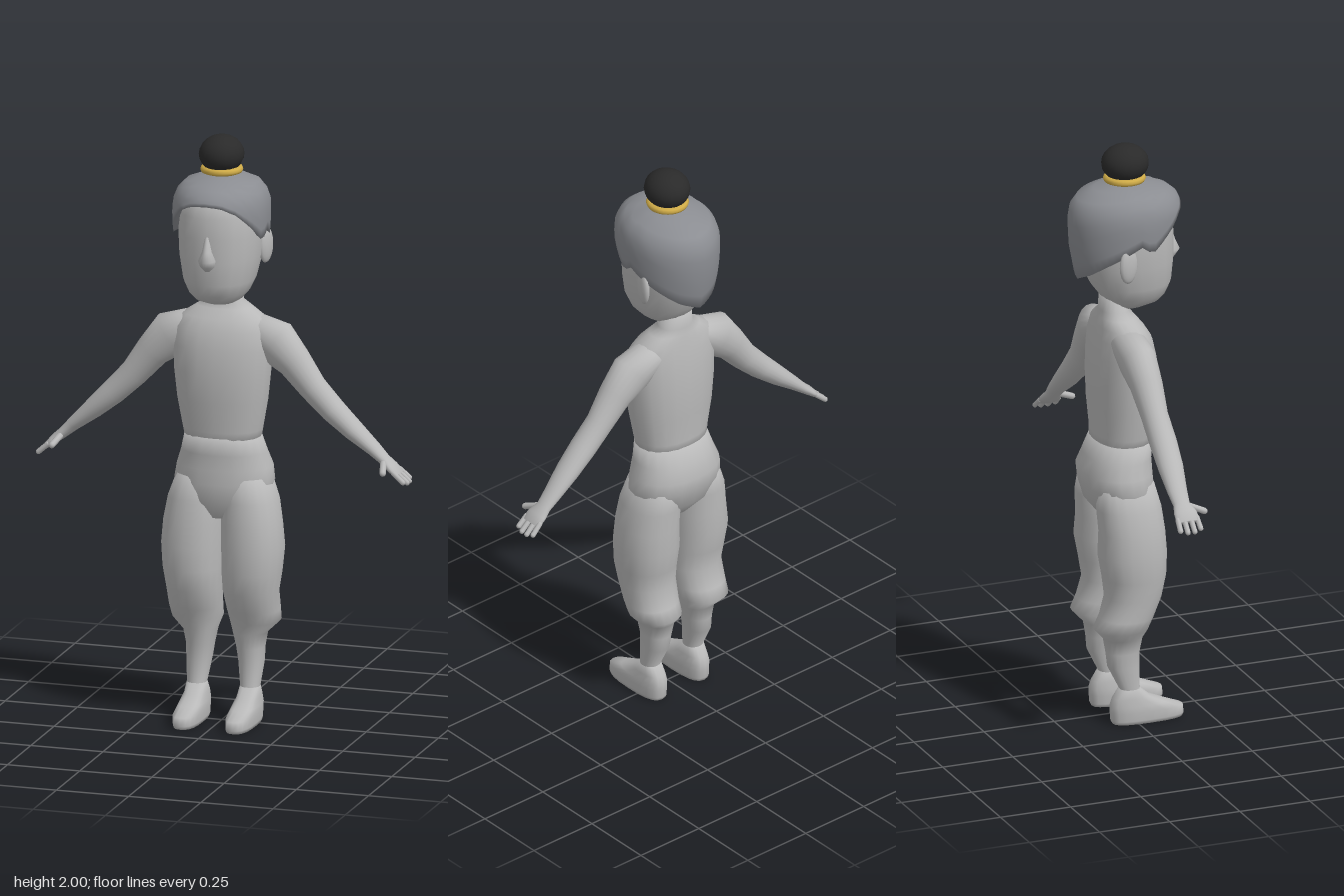
import * as THREE from 'three';

const SIDES = 20;

// Closed skin through rings of { c: centre, u: first half-axis, v: second half-axis }
function skin(rings, power) {
  const pos = [], idx = [], n = SIDES;
  const soft = t => Math.sign(t) * Math.abs(t) ** power;
  for (const { c, u, v } of rings) {
    for (let i = 0; i < n; i++) {
      const a = i / n * Math.PI * 2, p = c.clone();
      p.addScaledVector(u, soft(Math.cos(a))).addScaledVector(v, soft(Math.sin(a)));
      pos.push(p.x, p.y, p.z);
    }
  }
  for (let j = 0; j < rings.length - 1; j++) {
    for (let i = 0; i < n; i++) {
      const a = j * n + i, b = j * n + (i + 1) % n;
      idx.push(a, a + n, b, b, a + n, b + n);
    }
  }
  const last = rings.length - 1, bottom = rings.length * n, top = bottom + 1;
  pos.push(...rings[0].c.toArray(), ...rings[last].c.toArray());
  for (let i = 0; i < n; i++) {
    const k = (i + 1) % n;
    idx.push(bottom, i, k, top, last * n + k, last * n + i);
  }
  const g = new THREE.BufferGeometry();
  g.setAttribute('position', new THREE.Float32BufferAttribute(pos, 3));
  g.setIndex(idx);
  g.computeVertexNormals();
  return g;
}

// Level sections, bottom to top: [y, half width, front z, back z, centre x]
function upright(rows, side = 1, power = 0.92) {
  return skin(rows.map(([y, rx, zf, zb, cx = 0]) => ({
    c: new THREE.Vector3(cx * side, y, (zf + zb) / 2),
    u: new THREE.Vector3(rx, 0, 0),
    v: new THREE.Vector3(0, 0, (zf - zb) / 2),
  })), power);
}

// Sections square to a path: [x, y, z, half thickness, half depth]
function limb(rows, side) {
  const pts = rows.map(r => new THREE.Vector3(r[0] * side, r[1], r[2]));
  return skin(rows.map((r, i) => {
    const t = pts[Math.min(i + 1, pts.length - 1)].clone().sub(pts[Math.max(i - 1, 0)]);
    t.z = 0;
    t.normalize();
    return { c: pts[i], u: new THREE.Vector3(t.y, -t.x, 0).multiplyScalar(r[3]), v: new THREE.Vector3(0, 0, r[4]) };
  }), 1);
}

function lerpTable(table, x) {
  for (let i = 1; i < table.length; i++) {
    const [x0, y0] = table[i - 1], [x1, y1] = table[i];
    if (x <= x1) return y0 + (y1 - y0) * (x - x0) / (x1 - x0);
  }
  return table[table.length - 1][1];
}

// Hair cap with a rim that is high in front and low at the nape
function hairGeometry() {
  const rim = [[0, 1.8], [0.35, 1.795], [0.67, 1.77], [1, 1.72], [1.36, 1.66], [1.57, 1.69], [2, 1.645], [2.6, 1.585], [Math.PI, 1.55]];
  const scale = [[1.55, 0.87], [1.66, 0.975], [1.74, 1], [1.785, 0.985], [1.82, 0.9], [1.845, 0.75], [1.862, 0.45], [1.872, 0]];
  const n = 48, levels = [-0.16, 0, 0.15, 0.3, 0.45, 0.6, 0.74, 0.86, 0.95, 1];
  const pos = [], idx = [];
  levels.forEach(t => {
    for (let i = 0; i < n; i++) {
      const a = i / n * Math.PI * 2;
      const low = lerpTable(rim, a > Math.PI ? Math.PI * 2 - a : a);
      const y = t < 0 ? low + 0.012 : low + (1.872 - low) * t;
      const s = lerpTable(scale, t < 0 ? low : y) * (t < 0 ? 0.87 : 1);
      const z = Math.cos(a);
      pos.push(Math.sin(a) * 0.16 * s, y, z * (z > 0 ? 0.197 : 0.193) * s);
    }
  });
  for (let j = 0; j < levels.length - 1; j++) {
    for (let i = 0; i < n; i++) {
      const a = j * n + i, b = j * n + (i + 1) % n;
      idx.push(a, b, a + n, b, b + n, a + n);
    }
  }
  const g = new THREE.BufferGeometry();
  g.setAttribute('position', new THREE.Float32BufferAttribute(pos, 3));
  g.setIndex(idx);
  g.computeVertexNormals();
  return g;
}

export function createModel() {
  const model = new THREE.Group();
  const material = (name, color) => {
    const m = new THREE.MeshStandardMaterial({ color });
    m.name = name;
    return m;
  };
  const body = material('body grey', 0xb9b9b9);
  const hair = material('hair grey', 0x8b8d92);
  const black = material('bun black', 0x2a2a2a);
  const gold = material('band gold', 0xd0ac48);
  hair.side = THREE.DoubleSide;

  const add = (name, geometry, mat) => {
    const mesh = new THREE.Mesh(geometry, mat);
    mesh.name = name;
    model.add(mesh);
    return mesh;
  };
  // Rounded digit between two points
  const digit = (name, a, b, r) => {
    const d = b.clone().sub(a);
    const m = add(name, new THREE.CapsuleGeometry(r, d.length() - r, 4, 8), body);
    m.position.copy(a).add(b).multiplyScalar(0.5);
    m.quaternion.setFromUnitVectors(new THREE.Vector3(0, 1, 0), d.normalize());
  };

  // Torso, neck and hips
  add('torso', upright([
    [0.95, 0.125, 0.079, -0.114], [1.0, 0.135, 0.082, -0.11], [1.1, 0.153, 0.095, -0.118],
    [1.2, 0.164, 0.1, -0.12], [1.28, 0.168, 0.09, -0.115], [1.34, 0.165, 0.075, -0.108],
    [1.38, 0.142, 0.05, -0.1], [1.41, 0.095, 0.025, -0.095], [1.43, 0.062, 0.01, -0.088], [1.48, 0.058, 0.01, -0.085],
  ]), body);
  add('hips', upright([
    [0.7, 0.06, 0.05, -0.08], [0.76, 0.15, 0.08, -0.13], [0.82, 0.17, 0.083, -0.147], [0.87, 0.162, 0.08, -0.155],
    [0.92, 0.145, 0.078, -0.135], [0.98, 0.129, 0.081, -0.111],
  ]), body);

  // Head and nose
  add('head', upright([
    [1.437, 0.05, 0.07, -0.05], [1.455, 0.078, 0.118, -0.065], [1.48, 0.1, 0.138, -0.085], [1.52, 0.118, 0.156, -0.115],
    [1.6, 0.134, 0.163, -0.152], [1.68, 0.139, 0.163, -0.165], [1.75, 0.137, 0.16, -0.168],
    [1.8, 0.12, 0.14, -0.145], [1.835, 0.08, 0.09, -0.1], [1.85, 0.02, 0.02, -0.03],
  ]), body);
  add('nose', upright([
    [1.572, 0.012, 0.164, 0.12], [1.588, 0.026, 0.178, 0.12], [1.61, 0.03, 0.195, 0.12],
    [1.64, 0.018, 0.181, 0.12], [1.69, 0.01, 0.165, 0.12],
  ], 1, 1), body);

  // Hair cap, band and bun
  add('hair', hairGeometry(), hair);
  const band = add('hairBand', new THREE.TorusGeometry(0.059, 0.012, 8, 28), gold);
  band.rotation.x = Math.PI / 2;
  band.position.y = 1.884;
  const bun = add('hairBun', new THREE.SphereGeometry(1, 18, 12), black);
  bun.scale.set(0.075, 0.064, 0.08);
  bun.position.set(0, 1.936, 0.002);

  for (const [side, label] of [[1, 'left'], [-1, 'right']]) {
    const ear = add(label + 'Ear', new THREE.SphereGeometry(1, 14, 10), body);
    ear.scale.set(0.016, 0.062, 0.036);
    ear.position.set(side * 0.139, 1.625, -0.042);
    ear.rotation.y = -side * 0.3;

    // Arm with palm
    add(label + 'Arm', limb([
      [0.1, 1.345, -0.03, 0.05, 0.06], [0.18, 1.3, -0.026, 0.077, 0.062], [0.245, 1.237, -0.022, 0.058, 0.054],
      [0.31, 1.155, -0.02, 0.047, 0.045], [0.38, 1.085, -0.018, 0.042, 0.046], [0.45, 1.022, -0.02, 0.034, 0.043],
      [0.52, 0.962, -0.025, 0.023, 0.034], [0.555, 0.93, -0.025, 0.018, 0.029],
      [0.582, 0.908, -0.022, 0.016, 0.04], [0.608, 0.885, -0.021, 0.011, 0.042],
    ], side), body);
    [-0.055, -0.033, -0.01, 0.012].forEach((z, i) => digit(
      label + 'Finger' + (i + 1),
      new THREE.Vector3(side * 0.595, 0.897, z),
      new THREE.Vector3(side * (i % 3 ? 0.641 : 0.634), i % 3 ? 0.857 : 0.863, z * 1.08), 0.009));
    digit(label + 'Thumb', new THREE.Vector3(side * 0.558, 0.925, -0.005), new THREE.Vector3(side * 0.574, 0.9, 0.054), 0.011);

    // Baggy trouser leg gathered below the knee
    add(label + 'Leg', upright([
      [0.06, 0.034, 0.04, -0.075, 0.091], [0.12, 0.033, 0.014, -0.055, 0.092], [0.2, 0.042, 0.013, -0.095, 0.09],
      [0.25, 0.047, 0.015, -0.1, 0.087], [0.3, 0.057, 0.025, -0.108, 0.086], [0.34, 0.084, 0.037, -0.145, 0.1],
      [0.38, 0.088, 0.055, -0.125, 0.1], [0.45, 0.092, 0.085, -0.105, 0.098], [0.52, 0.099, 0.098, -0.115, 0.102],
      [0.6, 0.103, 0.1, -0.13, 0.104], [0.68, 0.1, 0.095, -0.125, 0.1], [0.76, 0.092, 0.085, -0.132, 0.094],
      [0.84, 0.072, 0.065, -0.125, 0.085],
    ], side), body);
    add(label + 'Foot', upright([
      [0, 0.041, 0.165, -0.08, 0.091], [0.012, 0.044, 0.171, -0.086, 0.091], [0.04, 0.045, 0.168, -0.087, 0.091],
      [0.062, 0.043, 0.11, -0.087, 0.091], [0.088, 0.037, 0.05, -0.078, 0.091], [0.12, 0.033, 0.014, -0.055, 0.092],
    ], side, 0.75), body);
  }
  return model;
}
